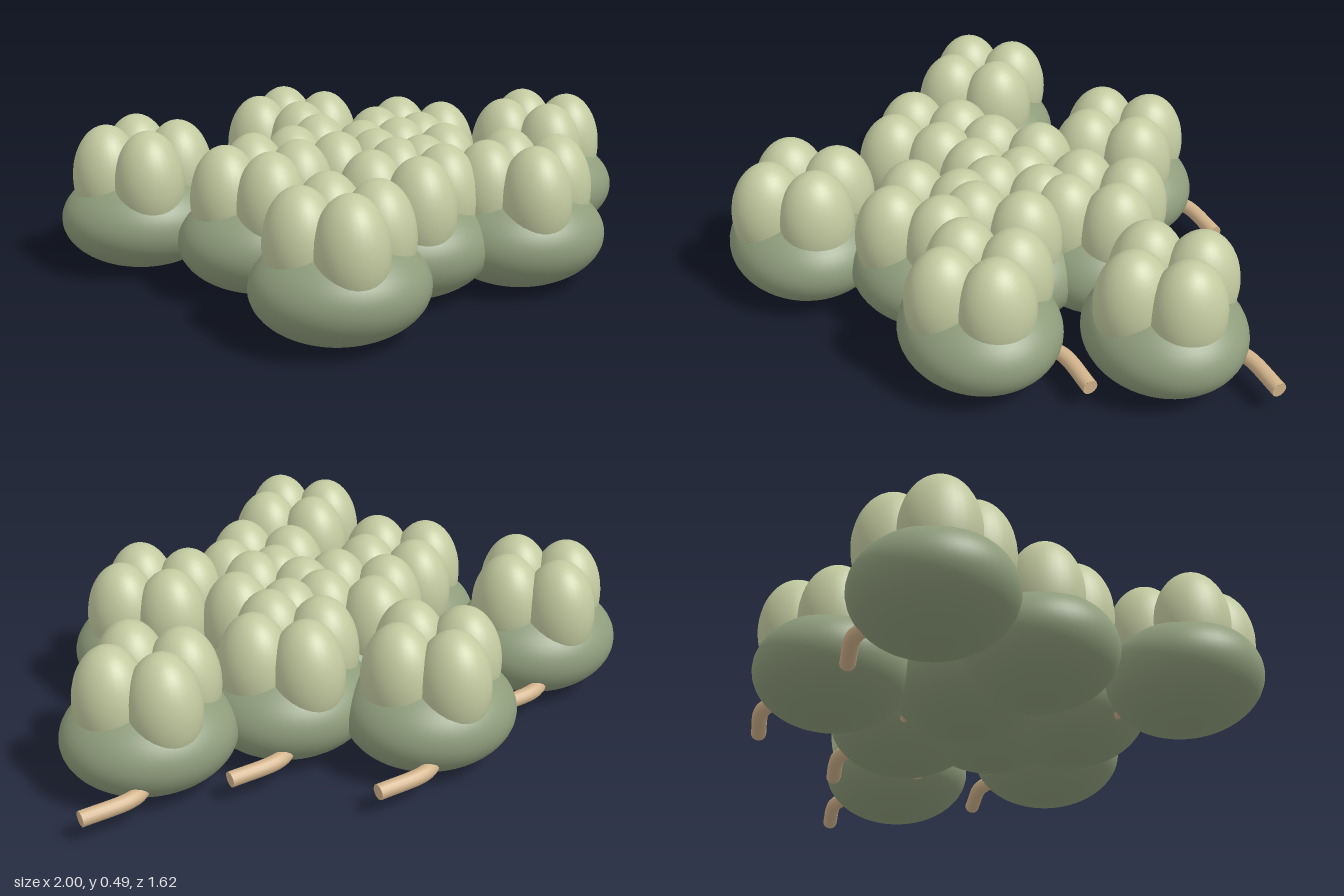
import * as THREE from 'three';

export function createModel() {
  const model = new THREE.Group();
  const material = (name, color) => Object.assign(new THREE.MeshStandardMaterial({ color }), { name });
  const baseGreen = material('sage green', 0x8f9d7c);
  const lobeGreen = material('pale green', 0xc3caa0);
  const stemTan = material('tan', 0xd2b48c);

  // Shared shapes
  const baseShape = new THREE.SphereGeometry(1, 48, 32).scale(0.278, 0.168, 0.255);
  const lobeShape = new THREE.SphereGeometry(1, 32, 24).scale(0.115, 0.18, 0.125);
  const stemEnd = new THREE.Vector3(0.32, 0.083, -0.217);
  const stemPath = new THREE.CatmullRomCurve3([
    new THREE.Vector3(0.08, 0.125, -0.14),
    new THREE.Vector3(0.115, 0.1, -0.19),
    new THREE.Vector3(0.16, 0.095, -0.213),
    stemEnd,
  ]);
  const stemShape = new THREE.TubeGeometry(stemPath, 20, 0.025, 14);
  const capShape = new THREE.CircleGeometry(0.025, 14);

  function add(parent, name, geometry, mat, x = 0, y = 0, z = 0) {
    const mesh = new THREE.Mesh(geometry, mat);
    mesh.name = name;
    mesh.position.set(x, y, z);
    parent.add(mesh);
    return mesh;
  }

  // One pod: squashed base, four upright lobes and a bent stem
  function addPod(x, z) {
    const pod = new THREE.Group();
    pod.name = 'pod';
    pod.position.set(x, 0, z);
    add(pod, 'base', baseShape, baseGreen, 0, 0.17, 0);
    for (const [lx, lz] of [[1, 0], [-1, 0], [0, 1], [0, -1]]) {
      add(pod, 'lobe', lobeShape, lobeGreen, lx * 0.12, 0.31, lz * 0.12);
    }
    add(pod, 'stem', stemShape, stemTan);
    const cap = add(pod, 'stemCap', capShape, stemTan, stemEnd.x, stemEnd.y, stemEnd.z);
    cap.quaternion.setFromUnitVectors(new THREE.Vector3(0, 0, 1), stemPath.getTangent(1));
    model.add(pod);
  }

  // Cluster layout (x, z)
  const layout = [
    [-0.722, -0.315], [-0.14, -0.56], [0.21, -0.285], [0.68, -0.262], [-0.398, 0.055],
    [0.418, 0.245], [0.03, 0.245], [-0.285, 0.553], [-0.13, -0.12], [0.12, 0.0],
  ];
  layout.forEach(([x, z]) => addPod(x, z));
  return model;
}
